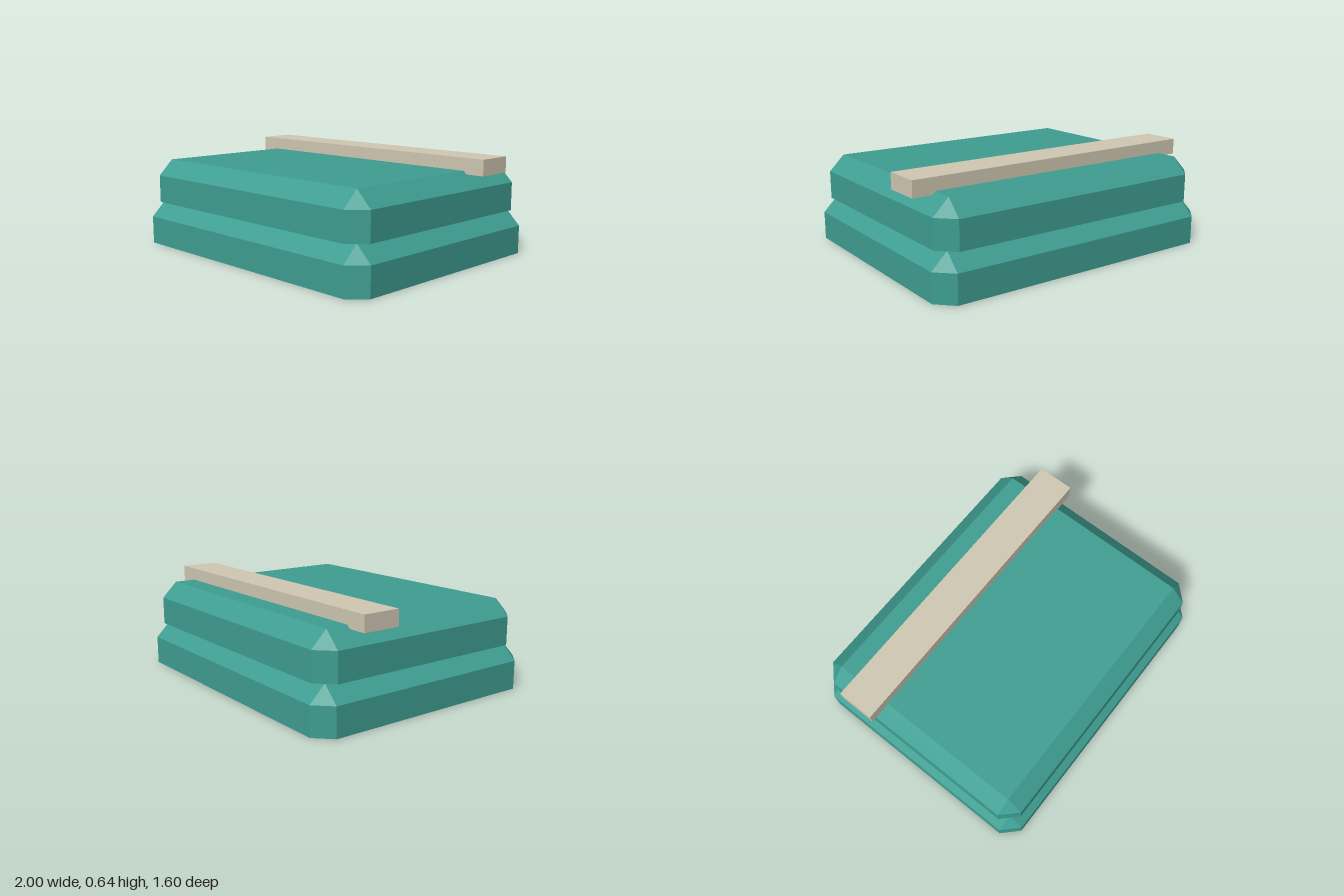
import * as THREE from 'three';
import { ConvexGeometry } from 'three/addons/geometries/ConvexGeometry.js';

// Block with cut vertical corners and a bevelled top edge.
// w, d: half width and half depth; c: size of the bevel
function bevelledSlab(w, d, height, c) {
  const points = [];
  for (const sx of [-1, 1]) {
    for (const sz of [-1, 1]) {
      for (const y of [0, height - c]) {
        points.push(new THREE.Vector3(sx * w, y, sz * (d - c)));
        points.push(new THREE.Vector3(sx * (w - c), y, sz * d));
      }
      points.push(new THREE.Vector3(sx * (w - c), height, sz * (d - c)));
    }
  }
  return new ConvexGeometry(points);
}

export function createModel() {
  const teal = new THREE.MeshStandardMaterial({ color: 0x3f9e92 });
  teal.name = 'teal';
  const beige = new THREE.MeshStandardMaterial({ color: 0xd0c8b3 });
  beige.name = 'beige';

  const model = new THREE.Group();
  model.name = 'stackedSlabs';

  function add(name, geometry, material, x, y, z) {
    const mesh = new THREE.Mesh(geometry, material);
    mesh.name = name;
    mesh.position.set(x, y, z);
    model.add(mesh);
  }

  // Two stacked slabs, the upper one slightly smaller
  add('lowerSlab', bevelledSlab(1, 0.8, 0.28, 0.1), teal, 0, 0, 0);
  add('upperSlab', bevelledSlab(0.96, 0.76, 0.28, 0.1), teal, 0, 0.28, 0);

  // Bar across the top, sunk a little into the upper slab
  add('crossBar', new THREE.BoxGeometry(2, 0.1, 0.24), beige, 0, 0.59, -0.4);

  return model;
}
